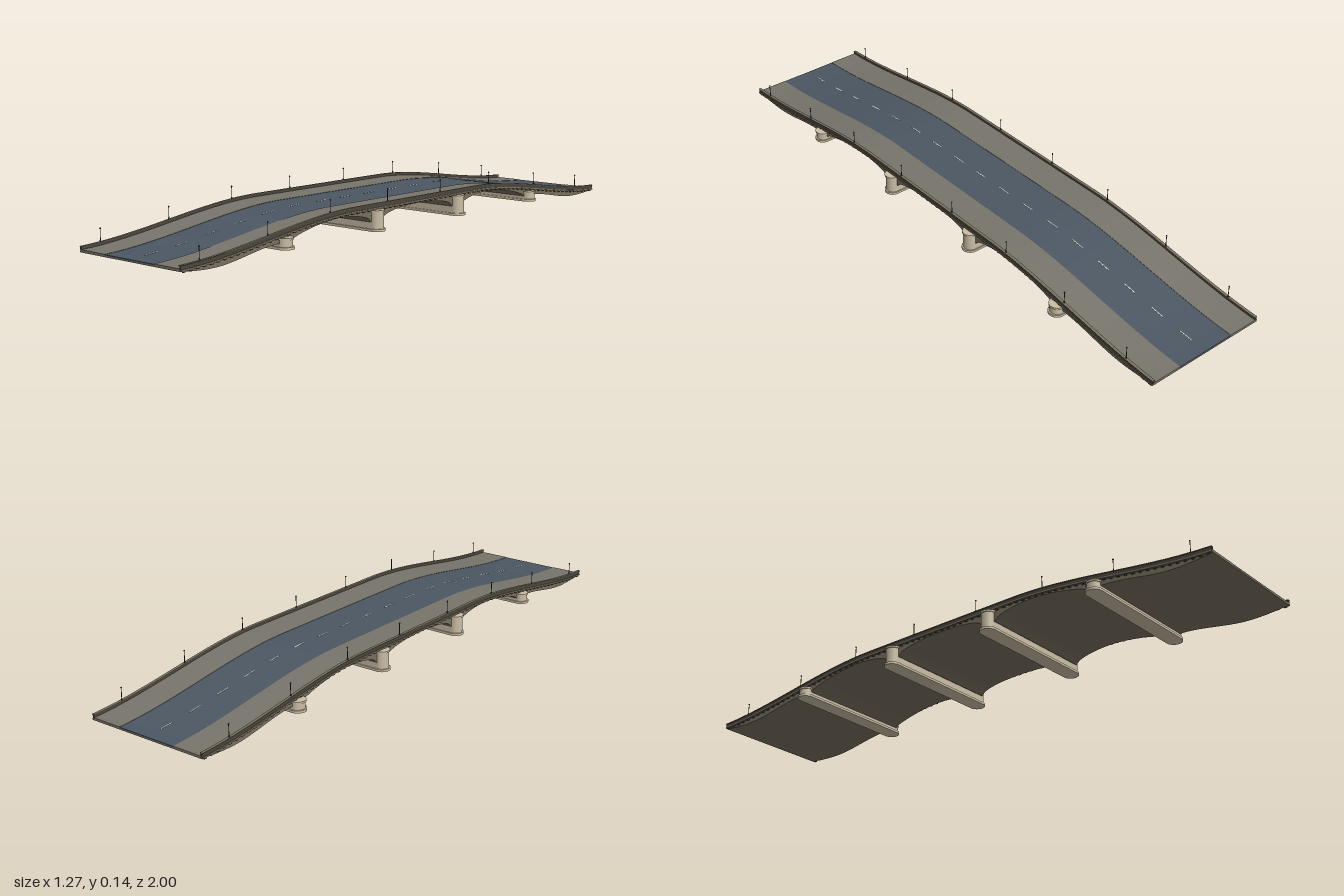
import * as THREE from 'three';
import { mergeGeometries, toCreasedNormals } from 'three/addons/utils/BufferGeometryUtils.js';

const STEPS = 160;
const { smoothstep, lerp, clamp } = THREE.MathUtils;
const PIERS = [-0.6, -0.2, 0.2, 0.6];

const mat = (color, extra = {}) => new THREE.MeshStandardMaterial({ color, ...extra });
const stone = mat(0xc9bda4);
const masonry = mat(0x78705f);
const dark = mat(0x4a463c);
const paving = mat(0x77746b);
const asphalt = mat(0x4c5763);
const paint = mat(0xd8d6cc);
const metal = mat(0x3a3a38);

// Height of the parapet top and of the carriageway at distance s along the bridge
const railTop = (s) => {
  const a = Math.abs(s);
  return 0.026 + 0.072 * (1 - smoothstep(a, 0.3, 1.03)) + 0.002 * (1 - a * a);
};
const road = (s) => railTop(s) - 0.011;

// Underside: three elliptical arches, then solid approaches running to the ground
function underside(s) {
  const a = Math.abs(s);
  if (a > 0.62) {
    const lift = Math.max(0, (a - 0.88) / 0.12);
    return 0.032 * (1 - smoothstep(a, 0.62, 0.88)) + 0.008 * lift * lift;
  }
  const t = clamp((a - (a < 0.2 ? 0 : 0.4)) / 0.175, -1, 1);
  return lerp(0.05 - 0.03 * a, road(s) - 0.012, Math.sqrt(1 - t * t));
}

// Sweeps a rectangle (x0..x1, bottom(s)..top(s)) along the bridge
function sweep(x0, x1, bottom, top, s0 = -1, s1 = 1, steps = STEPS) {
  const pos = [], idx = [];
  for (let i = 0; i <= steps; i++) {
    const s = lerp(s0, s1, i / steps), b = bottom(s), t = top(s);
    pos.push(x0, b, s, x1, b, s, x1, t, s, x0, t, s);
  }
  for (let i = 0; i < steps; i++) {
    for (let j = 0; j < 4; j++) {
      const a = i * 4 + j, b = i * 4 + (j + 1) % 4;
      idx.push(a, b, b + 4, a, b + 4, a + 4);
    }
  }
  const e = steps * 4;
  idx.push(0, 2, 1, 0, 3, 2, e, e + 1, e + 2, e, e + 2, e + 3);
  const g = new THREE.BufferGeometry();
  g.setAttribute('position', new THREE.Float32BufferAttribute(pos, 3));
  g.setIndex(idx);
  return toCreasedNormals(g, 0.5);
}

// Upright block with rounded ends reaching across the bridge
function stadium(halfLength, r, y0, y1) {
  const c = halfLength - r, shape = new THREE.Shape();
  shape.moveTo(-c, -r);
  shape.lineTo(c, -r);
  shape.absarc(c, 0, r, -Math.PI / 2, Math.PI / 2, false);
  shape.lineTo(-c, r);
  shape.absarc(-c, 0, r, Math.PI / 2, Math.PI * 1.5, false);
  const g = new THREE.ExtrudeGeometry(shape, { depth: y1 - y0, bevelEnabled: false, curveSegments: 12 });
  return g.rotateX(-Math.PI / 2).translate(0, y0, 0);
}

export function createModel() {
  const model = new THREE.Group();
  const bridge = new THREE.Group();
  bridge.name = 'bridge';
  model.add(bridge);

  const add = (name, geometry, material, parent = bridge) => {
    const mesh = new THREE.Mesh(geometry, material);
    mesh.name = name;
    parent.add(mesh);
    return mesh;
  };
  const above = (d) => (s) => road(s) + d;

  // Arched body, carriageway and pavements
  add('archedBody', sweep(-0.21, 0.21, underside, above(-0.003)), masonry);
  add('carriageway', sweep(-0.105, 0.105, above(-0.004), above(0)), asphalt);
  for (const side of [-1, 1]) {
    const strip = (inner, outer, b, t) => side > 0 ? sweep(inner, outer, b, t) : sweep(-outer, -inner, b, t);
    add('pavement', strip(0.105, 0.21, above(-0.004), above(0.001)), paving);

    // Cornice, parapet wall and coping
    add('cornice', strip(0.205, 0.217, above(-0.007), above(-0.002)), masonry);
    add('parapet', strip(0.209, 0.2145, above(-0.003), above(0.009)), dark);
    add('coping', strip(0.207, 0.217, above(0.009), railTop), masonry);

    // Small blocks under the cornice
    const blocks = [];
    for (let i = 0; i < 80; i++) {
      const s = -0.9875 + i * 0.025;
      blocks.push(new THREE.BoxGeometry(0.005, 0.004, 0.009).translate(side * 0.2125, road(s) - 0.009, s));
    }
    add('corniceBlocks', mergeGeometries(blocks), dark);

    // Lamps along the parapet
    for (let i = 0; i < 8; i++) {
      const s = 0.93 - i * 0.26;
      const lamp = new THREE.Group();
      lamp.name = 'lamp';
      lamp.position.set(side * 0.211, railTop(s), s);
      bridge.add(lamp);
      add('lampBase', new THREE.CylinderGeometry(0.0018, 0.0028, 0.005, 8).translate(0, 0.0025, 0), metal, lamp);
      add('lampPost', new THREE.CylinderGeometry(0.001, 0.0014, 0.038, 6).translate(0, 0.019, 0), metal, lamp);
      add('lampHead', new THREE.SphereGeometry(0.0026, 8, 6).translate(0, 0.039, 0), metal, lamp);
    }
  }

  // Dashed centre line
  for (let i = 0; i < 17; i++) {
    const s = -0.92 + i * 0.115;
    add('laneDash', sweep(-0.0016, 0.0016, above(-0.001), above(0.0007), s - 0.023, s + 0.023, 4), paint);
  }

  // Piers with rounded noses, footing and cap
  for (const s of PIERS) {
    const pier = new THREE.Group();
    pier.name = 'pier';
    pier.position.z = s;
    bridge.add(pier);
    const top = road(Math.abs(s) + 0.03) - 0.009;
    add('pierFooting', stadium(0.238, 0.027, 0.014, 0.022), stone, pier);
    add('pierShaft', stadium(0.233, 0.023, 0.02, top), stone, pier);
    add('pierCap', stadium(0.236, 0.026, top - 0.006, top), stone, pier);
  }

  // The bridge runs diagonally
  bridge.scale.z = 1.005;
  bridge.rotation.y = -0.451;
  return model;
}
